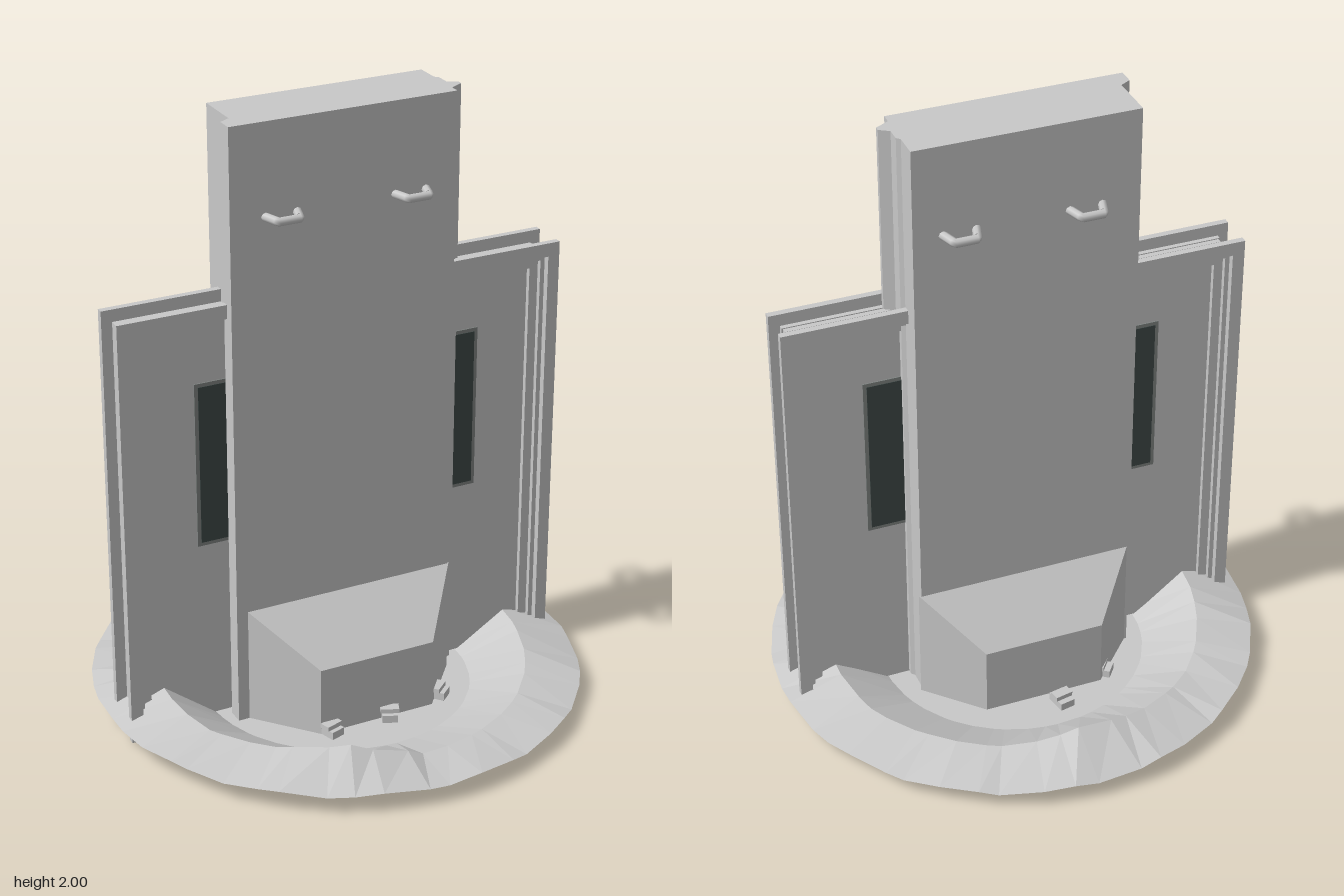
import * as THREE from 'three';

const stone = new THREE.MeshStandardMaterial({ color: 0xc8c8c8 });
stone.name = 'light grey metal';
const sheet = new THREE.MeshStandardMaterial({ color: 0xc8c8c8, side: THREE.DoubleSide, flatShading: true });
sheet.name = 'light grey ground';
const trim = new THREE.MeshStandardMaterial({ color: 0x808583 });
trim.name = 'window trim grey';
const glass = new THREE.MeshStandardMaterial({ color: 0x3f4a48 });
glass.name = 'dark window';

const FLOOR = 0.004; // parts stand just above the crater floor

function add(parent, name, geometry, material = stone) {
  const mesh = new THREE.Mesh(geometry, material);
  mesh.name = name;
  parent.add(mesh);
  return mesh;
}

// Box given by its minimum and maximum corners
function block(parent, name, x0, x1, y0, y1, z0, z1, material) {
  const g = new THREE.BoxGeometry(x1 - x0, y1 - y0, z1 - z0);
  g.translate((x0 + x1) / 2, (y0 + y1) / 2, (z0 + z1) / 2);
  return add(parent, name, g, material);
}

// Upright prism from a plan outline of [x, z] points
function prism(points, top) {
  const shape = new THREE.Shape(points.map(([x, z]) => new THREE.Vector2(x, -z)));
  const g = new THREE.ExtrudeGeometry(shape, { depth: top - FLOOR, bevelEnabled: false });
  return g.rotateX(-Math.PI / 2).translate(0, FLOOR, 0);
}

// Foot block with tapering sides and a sloping top
function footGeometry(z0, z1) {
  const g = prism([[-0.365, z0], [-0.2, z1], [0.2, z1], [0.36, z0]], 1);
  const p = g.attributes.position;
  for (let i = 0; i < p.count; i++) {
    const t = (p.getZ(i) - z0) / (z1 - z0);
    if (p.getY(i) > 0.5) p.setY(i, 0.395 - 0.16 * t);
  }
  g.computeVertexNormals();
  return g;
}

// Bent grab handle on a face at z, pointing along dir
function handle(parent, x, z, dir) {
  const path = new THREE.CurvePath();
  const pts = [[-0.055, -0.01], [-0.035, 0.055], [0.035, 0.055], [0.055, -0.01]]
    .map(([a, b]) => new THREE.Vector3(x + a, 1.705, z + dir * b));
  for (let i = 0; i < 3; i++) path.add(new THREE.LineCurve3(pts[i], pts[i + 1]));
  add(parent, 'grabHandle', new THREE.TubeGeometry(path, 24, 0.014, 8));
}

// Half door: thin panel with a stepped frame, grooved edge and slim windows
function door(side) {
  const g = new THREE.Group();
  g.name = side > 0 ? 'leftDoor' : 'rightDoor';
  const span = (name, a, b, y0, y1, z0, z1, m) =>
    block(g, name, Math.min(side * a, side * b), Math.max(side * a, side * b), y0, y1, z0, z1, m);
  span('doorPanel', 0.3, 0.675, FLOOR, 1.35, -0.018, 0.018);

  // Frame steps: inner x, outer x, inner y, outer y, near z, far z
  const steps = [
    [0.67, 0.715, 1.345, 1.392, 0.016, 0.034],
    [0.7, 0.72, 1.372, 1.395, 0.034, 0.05],
    [0.715, 0.755, 1.39, 1.435, 0.05, 0.072],
  ];
  for (const f of [1, -1]) {
    const layer = (name, a, b, y0, y1, za, zb, m) =>
      span(name, a, b, y0, y1, Math.min(f * za, f * zb), Math.max(f * za, f * zb), m);
    for (const [xa, xb, ya, yb, za, zb] of steps) {
      layer('doorSideFrame', xa, xb, FLOOR, ya, za, zb);
      layer('doorTopFrame', 0.3, xb, ya, yb, za, zb);
    }
    layer('windowTrim', 0.34, 0.492, 0.618, 1.172, 0.018, 0.022, trim);
    layer('windowPane', 0.34, 0.48, 0.63, 1.16, 0.022, 0.024, glass);
  }
  return g;
}

// Uneven crater: flat floor, rising wall, wavy crest and low outer rim
function craterGeometry() {
  const crest = [0.11, 0.09, 0.07, 0.065, 0.065, 0.135, 0.11, 0.1,
    0.14, 0.1, 0.08, 0.1, 0.135, 0.09, 0.09, 0.08];
  const n = 48, pos = [0, 0, 0], idx = [];
  for (let i = 0; i < n; i++) {
    const a = (i / n) * Math.PI * 2 + 0.03 * Math.sin(i * 2.3);
    const k = (i / n) * crest.length, c = Math.floor(k);
    const h = THREE.MathUtils.lerp(crest[c], crest[(c + 1) % crest.length], k - c);
    const rim = 0.06 - 0.012 * Math.cos(a) + 0.006 * Math.sin(i * 1.9);
    for (const [r, y] of [[0.44, 0], [0.62, h], [0.8, rim]]) {
      pos.push(r * Math.cos(a), y, r * Math.sin(a));
    }
    const p = 1 + i * 3, q = 1 + ((i + 1) % n) * 3;
    idx.push(0, q, p);
    for (let j = 0; j < 2; j++) idx.push(p + j, q + j, q + j + 1, p + j, q + j + 1, p + j + 1);
  }
  const g = new THREE.BufferGeometry();
  g.setAttribute('position', new THREE.Float32BufferAttribute(pos, 3));
  g.setIndex(idx);
  g.computeVertexNormals();
  return g;
}

export function createModel() {
  const model = new THREE.Group();
  model.name = 'doorPillar';

  // Tall centre slab with a lip on one edge and a ridge on the other
  add(model, 'pillar', prism([
    [-0.4, 0.103], [0.355, 0.103], [0.355, 0.07], [0.4, 0.045], [0.4, 0.03], [0.368, 0.01],
    [0.368, -0.035], [0.357, -0.047], [0.357, -0.128],
    [-0.365, -0.128], [-0.365, 0.03], [-0.4, 0.05],
  ], 2));

  // Foot blocks front and back
  add(model, 'frontFoot', footGeometry(0.1, 0.292));
  add(model, 'backFoot', footGeometry(0.125, 0.295)).rotation.y = Math.PI;

  // Grab handles
  for (const x of [-0.232, 0.2]) handle(model, x, 0.103, 1);
  for (const x of [-0.19, 0.21]) handle(model, x, -0.128, -1);

  model.add(door(1), door(-1));
  add(model, 'crater', craterGeometry(), sheet);

  // Small rubble pieces around the feet
  const rubble = [[-0.04, -0.35, 0.2], [-0.22, -0.255, 0.9], [-0.17, 0.3, 0.3],
    [0.04, 0.3, -0.4], [0.24, 0.25, 0.7]];
  for (const [x, z, turn] of rubble) {
    const g = new THREE.Group();
    g.name = 'rubble';
    block(g, 'rubbleBase', -0.025, 0.025, FLOOR, 0.03, -0.035, 0.035);
    block(g, 'rubbleCap', -0.03, 0.03, 0.03, 0.045, -0.015, 0.02);
    g.position.set(x, 0, z);
    g.rotation.y = turn;
    model.add(g);
  }
  return model;
}
